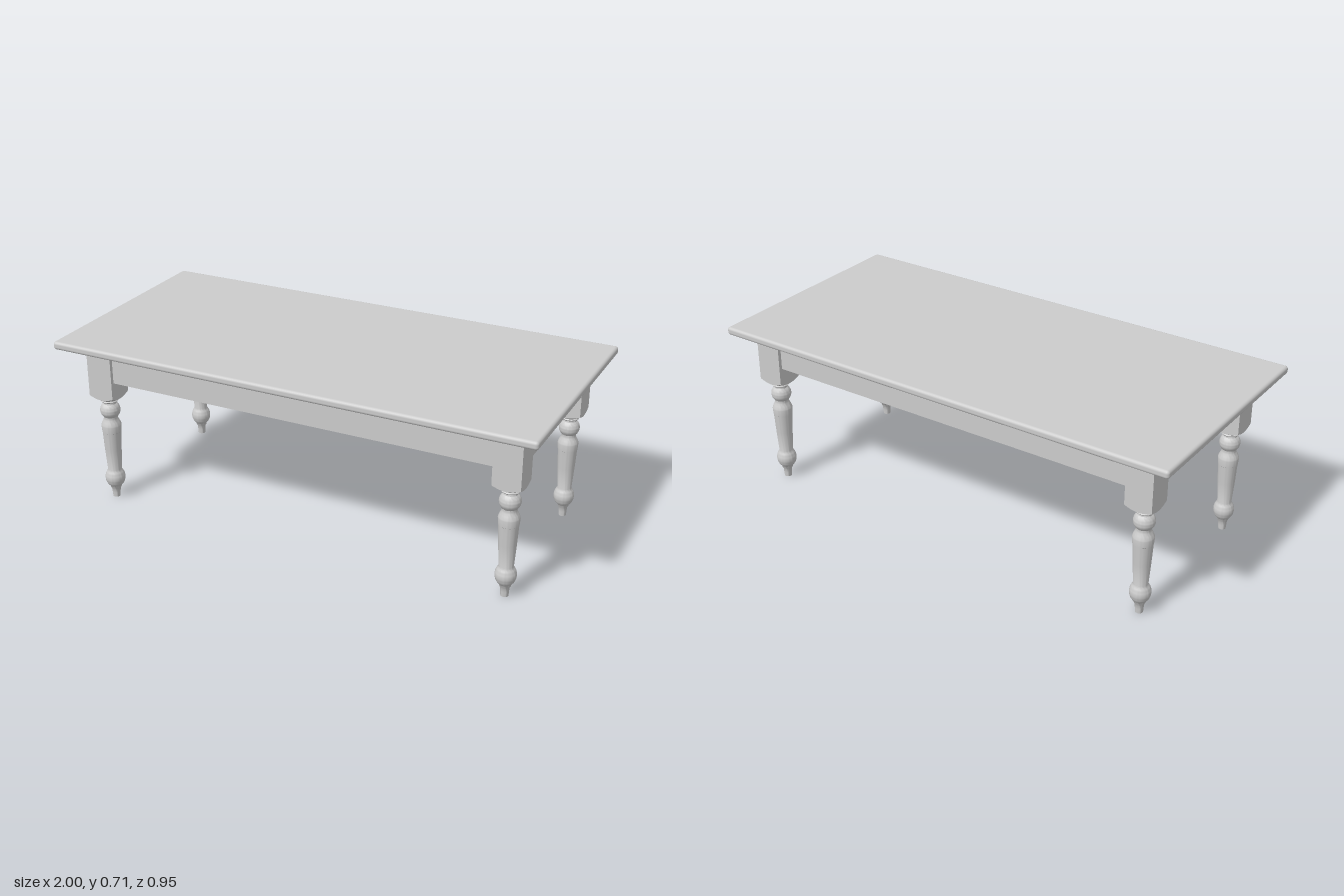
import * as THREE from 'three';
import { toCreasedNormals } from 'three/addons/utils/BufferGeometryUtils.js';
import { RoundedBoxGeometry } from 'three/addons/geometries/RoundedBoxGeometry.js';

const material = new THREE.MeshStandardMaterial({ color: 0xcccccc });
const TOP_UNDERSIDE = 0.68;
const POST = 0.11;
const LEG_X = [-0.848, 0.868];
const LEG_Z = [-0.336, 0.34];

function addMesh(parent, name, geometry, x = 0, y = 0, z = 0) {
  const mesh = new THREE.Mesh(geometry, material);
  mesh.name = name;
  mesh.position.set(x, y, z);
  parent.add(mesh);
  return mesh;
}

// Square post whose underside is turned to a cone, leaving curved shoulders
function postGeometry() {
  const geo = new THREE.BoxGeometry(POST, 1, POST, 12, 1, 12);
  const p = geo.attributes.position;
  for (let i = 0; i < p.count; i++) {
    const r = Math.hypot(p.getX(i), p.getZ(i));
    p.setY(i, p.getY(i) > 0 ? TOP_UNDERSIDE : 0.424 + 0.59 * Math.max(r, 0.028));
  }
  return toCreasedNormals(geo, 0.5);
}

// Turned baluster: foot, lower bulb, tapered shaft, collar, upper bulb, ring
function turnedGeometry() {
  const profile = [[0, 0], [0.015, 0], [0.0165, 0.02], [0.018, 0.037], [0.022, 0.043]];
  const bulb = (y, ry, r, from, to) => {
    for (let i = 0; i <= 10; i++) {
      const a = THREE.MathUtils.lerp(from, to, i / 10);
      profile.push([r * Math.cos(a), y + ry * Math.sin(a)]);
    }
  };
  bulb(0.09, 0.047, 0.041, -0.95, 0.78);
  profile.push([0.028, 0.127], [0.034, 0.22], [0.038, 0.3], [0.039, 0.301], [0.041, 0.328], [0.04, 0.333],
    [0.035, 0.345], [0.03, 0.355], [0.028, 0.363]);
  bulb(0.396, 0.039, 0.041, -0.8, 0.85);
  profile.push([0.026, 0.432], [0.033, 0.435], [0.036, 0.439], [0.033, 0.443], [0.028, 0.444], [0.028, 0.46]);
  const geo = new THREE.LatheGeometry(profile.map(([r, y]) => new THREE.Vector2(r, y)), 40);
  return toCreasedNormals(geo, 0.6);
}

export function createModel() {
  const table = new THREE.Group();
  table.name = 'table';

  addMesh(table, 'tabletop', new RoundedBoxGeometry(2, 0.033, 0.955, 4, 0.012), 0, TOP_UNDERSIDE + 0.0165, 0);

  // Four legs
  const post = postGeometry();
  const turned = turnedGeometry();
  for (const x of LEG_X) {
    for (const z of LEG_Z) {
      const leg = new THREE.Group();
      leg.name = (z > 0 ? 'front' : 'back') + (x > 0 ? 'Left' : 'Right') + 'Leg';
      leg.position.set(x, 0, z);
      addMesh(leg, 'post', post);
      addMesh(leg, 'turnedLeg', turned);
      table.add(leg);
    }
  }

  // Aprons between the posts, set just inside their outer faces
  const thick = 0.04, height = 0.143, outset = 0.02;
  const y = TOP_UNDERSIDE - height / 2;
  const midX = (LEG_X[0] + LEG_X[1]) / 2, midZ = (LEG_Z[0] + LEG_Z[1]) / 2;
  const longApron = new THREE.BoxGeometry(LEG_X[1] - LEG_X[0] - POST, height, thick);
  const shortApron = new THREE.BoxGeometry(thick, height, LEG_Z[1] - LEG_Z[0] - POST);
  for (const s of [0, 1]) {
    const shift = s ? outset : -outset;
    addMesh(table, s ? 'frontApron' : 'backApron', longApron, midX, y, LEG_Z[s] + shift);
    addMesh(table, s ? 'leftApron' : 'rightApron', shortApron, LEG_X[s] + shift, y, midZ);
  }
  return table;
}
